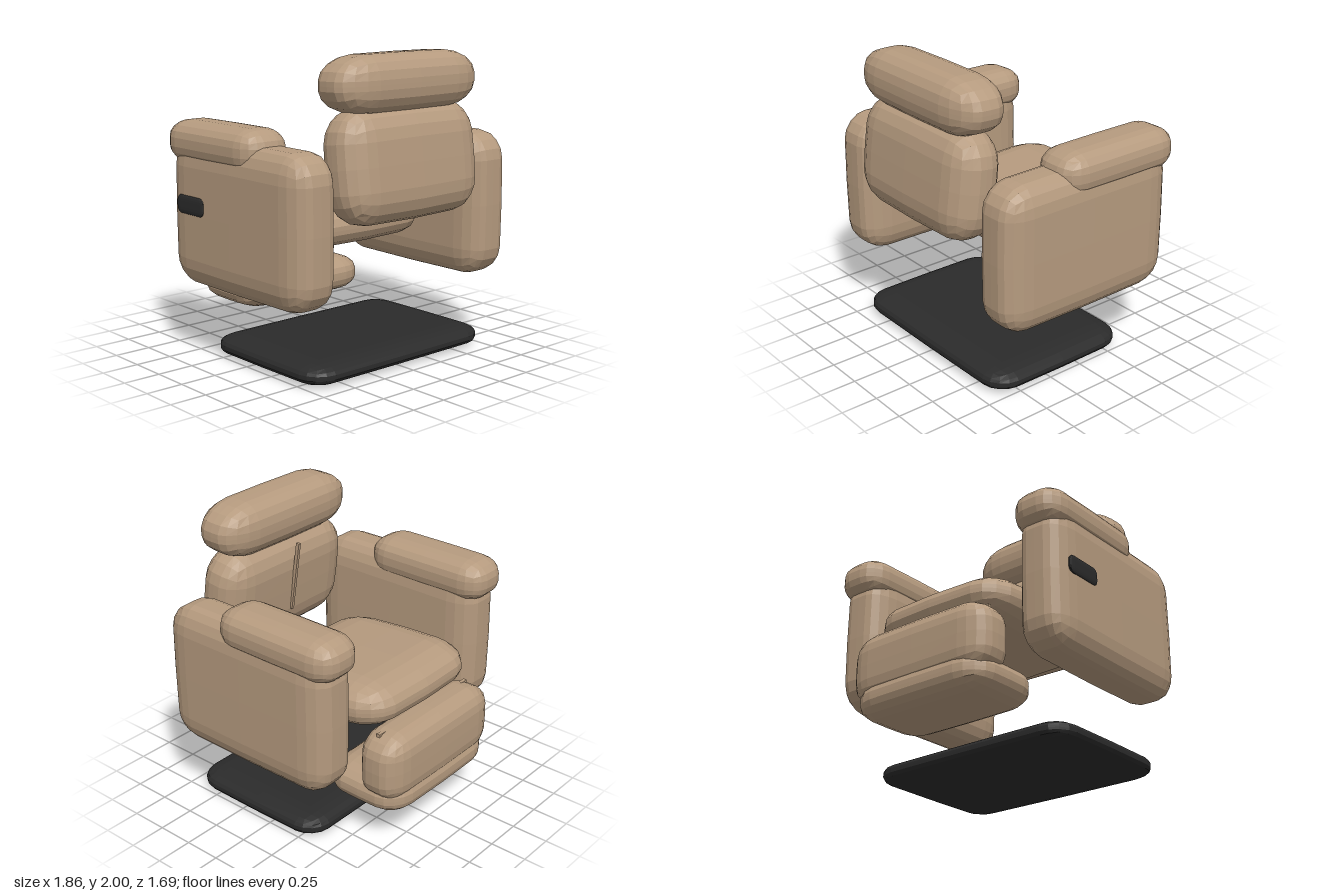
import * as THREE from 'three';

const fabric = new THREE.MeshStandardMaterial({ color: 0xb69b7f, flatShading: true });
const dark = new THREE.MeshStandardMaterial({ color: 0x2b2b2b, flatShading: true });

// Faceted cushion: half sizes h and corner radii r per axis, faces crowned by c
function cushionGeometry(h, r, c) {
  const geo = new THREE.BoxGeometry(2, 2, 2, 6, 6, 6);
  const pos = geo.attributes.position;
  for (let i = 0; i < pos.count; i++) {
    const inner = [], dir = [];
    for (let a = 0; a < 3; a++) {
      const t = pos.getComponent(i, a);
      const k = Math.round(Math.abs(t) * 3); // grid line 0 (middle) to 3 (outer)
      const s = Math.sign(t);
      inner.push(s * (h[a] - r[a]) * (k === 0 ? 0 : 1));
      dir.push(s * [0, 0, Math.tan(Math.PI / 8), 1][k]);
    }
    const len = Math.hypot(...dir) || 1;
    const p = inner.map((v, a) => v + r[a] * dir[a] / len);
    const n = p.map((v, a) => (v / h[a]) ** 2);
    const sum = n[0] + n[1] + n[2];
    pos.setXYZ(i, ...p.map((v, a) => v * (1 - c * (sum - n[a]))));
  }
  geo.computeVertexNormals();
  return geo;
}

export function createModel() {
  const group = new THREE.Group();

  function add(name, geometry, position, tilt = 0, material = fabric) {
    const mesh = new THREE.Mesh(geometry, material);
    mesh.name = name;
    mesh.position.set(...position);
    mesh.rotation.x = tilt;
    group.add(mesh);
  }

  // Floor plate
  add('base', cushionGeometry([0.76, 0.07, 0.535], [0.16, 0.055, 0.16], 0.01), [0, 0.07, 0.15], 0, dark);

  // Seat, raised slightly towards its front edge
  add('seat', cushionGeometry([0.545, 0.16, 0.545], [0.2, 0.13, 0.25], 0.05), [0, 0.91, -0.165], 0.06);

  // Leaning backrest with its centre seam, and the headrest above
  add('backrest', cushionGeometry([0.575, 0.36, 0.185], [0.19, 0.2, 0.14], 0.04), [0, 1.325, 0.63], -0.12);
  add('backrestSeam', new THREE.BoxGeometry(0.02, 0.5, 0.025), [0, 1.4, 0.425], -0.15);
  add('headrest', cushionGeometry([0.59, 0.182, 0.195], [0.24, 0.15, 0.13], 0.04), [0, 1.82, 0.595], -0.03);

  // Footrest: upright pad and foot pad
  add('legPad', cushionGeometry([0.55, 0.24, 0.165], [0.17, 0.14, 0.11], 0.035), [0, 0.58, -0.695]);
  add('footPad', cushionGeometry([0.525, 0.127, 0.305], [0.18, 0.1, 0.16], 0.03), [0, 0.367, -0.555]);

  // Arms, their top pads and the footrest tabs
  for (const side of [-1, 1]) {
    const prefix = side > 0 ? 'left' : 'right';
    add(prefix + 'Arm', cushionGeometry([0.175, 0.485, 0.665], [0.11, 0.18, 0.18], 0.015), [side * 0.745, 0.965, 0.065]);
    add(prefix + 'ArmPad', cushionGeometry([0.182, 0.14, 0.465], [0.13, 0.11, 0.15], 0.02), [side * 0.747, 1.41, -0.185]);
    add(prefix + 'FootrestTab', new THREE.BoxGeometry(0.06, 0.04, 0.025), [side * 0.43, 0.79, -0.67]);
  }

  // Control panel on the outside of one arm
  add('controlPanel', cushionGeometry([0.016, 0.06, 0.14], [0.01, 0.04, 0.04], 0), [-0.914, 1.02, -0.34], 0, dark);

  return group;
}
